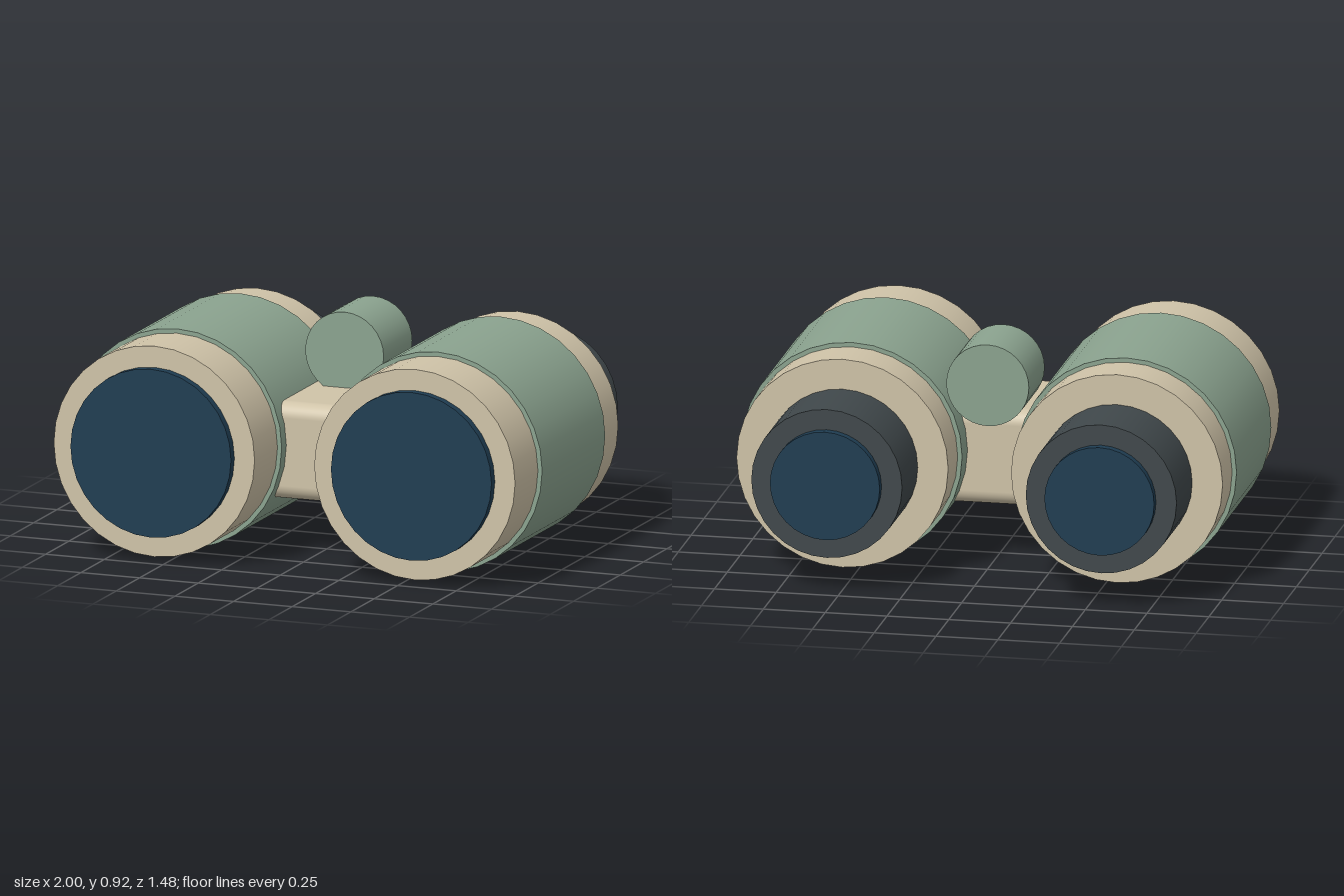
import * as THREE from 'three';
import { RoundedBoxGeometry } from 'three/addons/geometries/RoundedBoxGeometry.js';

const material = (color) => new THREE.MeshStandardMaterial({ color });

const AXIS_Y = 0.447; // height of the optical axes
const AXIS_X = 0.555; // distance of each axis from the middle

// Cylinder lying along z between two z positions
function zCylinder(name, radius, zBack, zFront, mat) {
  const geometry = new THREE.CylinderGeometry(radius, radius, zFront - zBack, 32);
  geometry.rotateX(Math.PI / 2);
  const mesh = new THREE.Mesh(geometry, mat);
  mesh.name = name;
  mesh.position.z = (zBack + zFront) / 2;
  return mesh;
}

export function createModel() {
  const model = new THREE.Group();
  model.name = 'binoculars';

  const tan = material(0xcfc3a8);
  const green = material(0x8ba38f);
  const charcoal = material(0x40484b);
  const glass = material(0x1f3d52);

  // Two identical barrels
  for (const [side, sign] of [['left', 1], ['right', -1]]) {
    const barrel = new THREE.Group();
    barrel.name = side + 'Barrel';
    barrel.position.set(sign * AXIS_X, AXIS_Y, 0);
    barrel.add(
      zCylinder('body', 0.428, -0.4, 0.705, tan),
      zCylinder('grip', 0.446, -0.215, 0.46, green),
      zCylinder('objectiveLens', 0.342, 0.65, 0.742, glass),
      zCylinder('eyepiece', 0.305, -0.705, -0.38, charcoal),
      zCylinder('eyeLens', 0.222, -0.742, -0.65, glass)
    );
    model.add(barrel);
  }

  // Rounded bridge joining the barrels
  const bridge = new THREE.Mesh(new RoundedBoxGeometry(0.6, 0.395, 0.52, 5, 0.06), tan);
  bridge.name = 'bridge';
  bridge.position.set(0, 0.418, 0.15);
  model.add(bridge);

  // Focus wheel resting on the bridge
  const focusWheel = zCylinder('focusWheel', 0.167, -0.245, 0.062, green);
  focusWheel.position.y = 0.756;
  model.add(focusWheel);

  return model;
}
